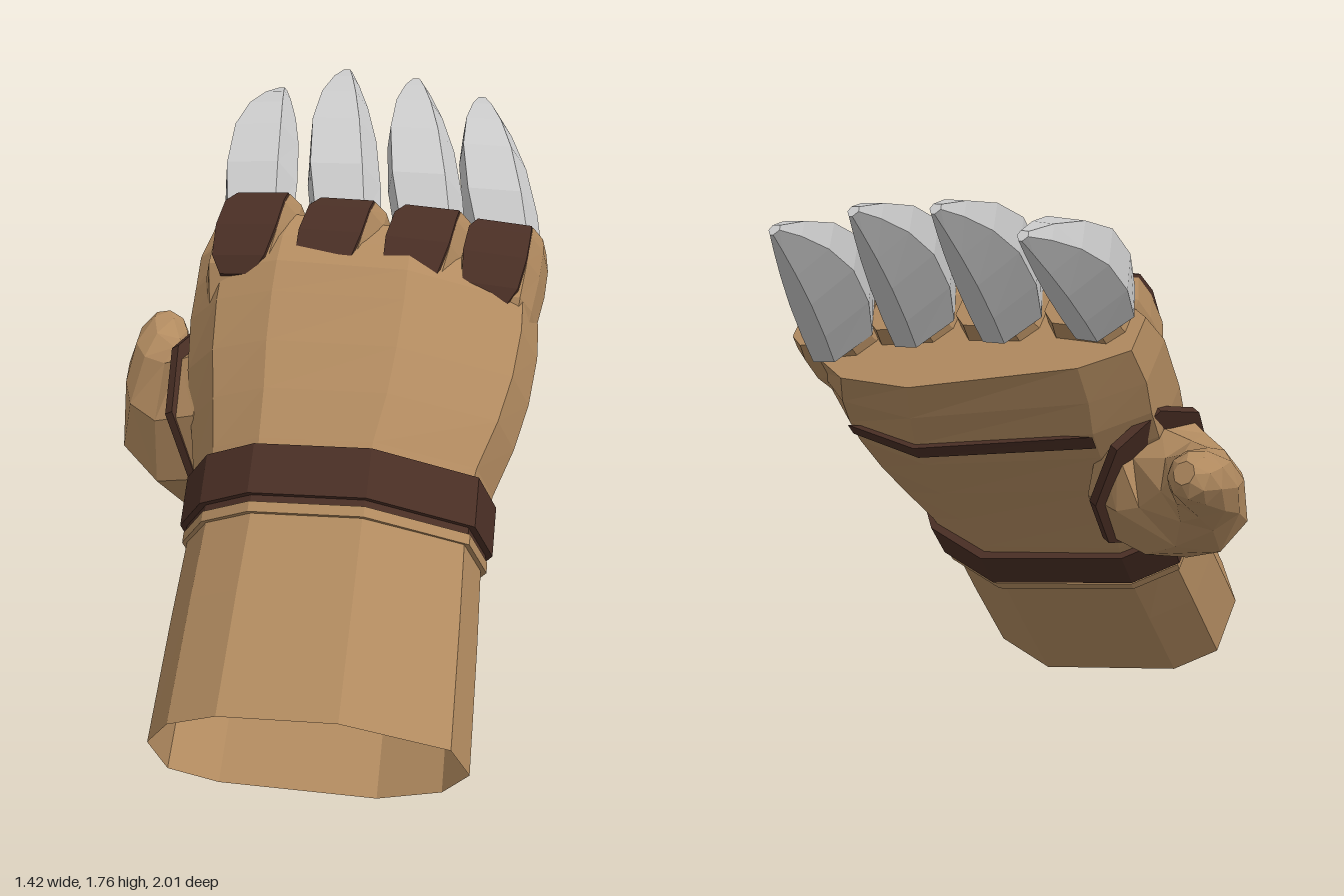
import * as THREE from 'three';

const V = (x, y, z) => new THREE.Vector3(x, y, z);
const lerp = THREE.MathUtils.lerp;
const mat = (color) => new THREE.MeshStandardMaterial({ color, flatShading: true, side: THREE.DoubleSide });
const leather = mat(0xb28b60), darkLeather = mat(0x4a2f25), metal = mat(0xcccccc);

// Skin a list of equal-length rings; optionally close the first and last ring
function loft(rings, capStart = true, capEnd = true) {
  const n = rings[0].length, pos = [], idx = [];
  rings.forEach((r) => r.forEach((p) => pos.push(p.x, p.y, p.z)));
  for (let j = 0; j < rings.length - 1; j++) {
    for (let i = 0; i < n; i++) {
      const a = j * n + i, b = j * n + (i + 1) % n;
      idx.push(a, a + n, b, b, a + n, b + n);
    }
  }
  const cap = (j, flip) => {
    const c = rings[j].reduce((s, p) => s.add(p), V(0, 0, 0)).divideScalar(n);
    const k = pos.length / 3;
    pos.push(c.x, c.y, c.z);
    for (let i = 0; i < n; i++) {
      const a = j * n + i, b = j * n + (i + 1) % n;
      idx.push(k, flip ? b : a, flip ? a : b);
    }
  };
  if (capStart) cap(0, false);
  if (capEnd) cap(rings.length - 1, true);
  const g = new THREE.BufferGeometry();
  g.setAttribute('position', new THREE.Float32BufferAttribute(pos, 3));
  g.setIndex(idx);
  g.computeVertexNormals();
  return g;
}

// Ten-sided sleeve section: x across the hand, z towards its back
const sleeve = [[.405, -.09], [.385, .08], [.135, .24], [-.165, .272], [-.305, .213],
  [-.391, .089], [-.389, -.096], [-.275, -.19], [.13, -.281], [.313, -.219]];
const sleeveRing = ([y, sx, sz, cz = 0, tilt = 0, cx = 0]) =>
  sleeve.map(([x, z]) => V(x * sx + cx, y, z * sz + cz - tilt * x * sx));

// Chamfered finger section in -1..1
const fingerShape = [[1, -.6], [1, .35], [.78, 1], [-.78, 1], [-1, .35], [-1, -.6], [-.65, -1], [.65, -1]];

export function createModel() {
  const hand = new THREE.Group();
  hand.name = 'clawedGlove';
  const add = (name, geo, material, parent = hand) => {
    const m = new THREE.Mesh(geo, material);
    m.name = name;
    parent.add(m);
    return m;
  };

  // Open sleeve and wrist bands
  add('sleeve', loft([[0, 1, 1], [.35, .98, .97, -.015], [.7, .95, .92, -.03]].map(sleeveRing), false, false), leather);
  const band = (name, y0, y1, s, material) => add(name, loft(
    [[y0, .93, .9, -.03], [y0, s, s, -.03], [y1, s, s, -.03], [y1, .93, .9, -.03]].map(sleeveRing),
    false, false), material);
  band('wristBand', .625, .77, 1.025, darkLeather);
  band('wristTrim', .575, .605, .995, leather);
  band('wristGroove', .605, .625, .98, darkLeather);

  // Palm and back of the hand, running up under the fingers
  add('palm', loft([
    [.7, .96, .94, -.03], [.8, 1.0, .94, -.03], [.95, 1.09, .93, -.03, .03, .01],
    [1.1, 1.16, .92, -.035, .06, .01], [1.26, 1.19, .9, -.04, .09, .01],
    [1.36, 1.18, .88, -.04, .11, .01], [1.46, 1.16, .76, -.045, .16, .005],
    [1.57, 1.08, .58, -.06, .22, 0],
  ].map(sleeveRing), false, true), leather);
  // Dark fold across the palm, following its underside
  add('palmCrease', loft([[1.31, 1.19, .92, -.042, .1, .01], [1.36, 1.185, .92, -.042, .11, .01]]
    .map((r) => sleeveRing(r).slice(7))), darkLeather);

  // Four fingers: knuckle, dark plate and claw
  const fingers = [
    { x0: -.3, x1: -.268, clawX: -.305, drop: 0, tilt: .05, base: .155, tip: V(-.378, 2.29, -.2) },
    { x0: -.075, x1: -.03, clawX: -.058, drop: .045, tilt: .17, base: .1, tip: V(-.176, 2.355, -.207) },
    { x0: .165, x1: .205, clawX: .178, drop: .1, tilt: .26, base: .04, tip: V(.045, 2.32, -.224) },
    { x0: .378, x1: .398, clawX: .388, drop: .185, tilt: .31, base: -.05, tip: V(.245, 2.285, -.287) },
  ];
  // height along hand, half width, top, thickness
  const knuckle = [[1.26, .09, .15, .14], [1.36, .104, .21, .2], [1.48, .11, .213, .23],
    [1.57, .108, .2, .22], [1.63, .096, .155, .17]];
  const plate = [[1.33, .045, .203], [1.38, .074, .222], [1.48, .086, .226], [1.57, .084, .212], [1.626, .074, .168]];
  const blade = [[0, .1], [.22, .107], [.48, .098], [.7, .072], [.88, .04], [1, .014]];

  fingers.forEach((f, i) => {
    const g = new THREE.Group();
    g.name = 'finger' + (i + 1);
    hand.add(g);
    const cx = (y) => lerp(f.x0, f.x1, (y - 1.36) / .28);
    add('knuckle', loft(knuckle.map(([y, w, top, t]) => fingerShape.map(([x, z]) =>
      V(cx(y) + x * w, y, top - f.drop + (z - 1) * t / 2 - f.tilt * x * w)))), leather, g);
    add('knucklePlate', loft(plate.map(([y, w, top]) => [[1, -.04], [1, 0], [-1, 0], [-1, -.04]].map(([x, z]) =>
      V(cx(y) + x * w, y, top - f.drop + z - f.tilt * x * w)))), darkLeather, g);
    // Curved blade: flat back, keel below
    add('claw', loft(blade.map(([t, w]) => {
      const top = lerp(f.base - .005, f.tip.z, t) + .44 * t * (1 - t);
      const low = lerp(f.base - .19, f.tip.z - .03, t);
      const x0 = lerp(f.clawX, f.tip.x, t), y = lerp(1.6, f.tip.y, t);
      return [[1, .5], [.7, 1], [-.7, 1], [-1, .5], [-.3, 0], [.3, 0]].map(([x, z]) =>
        V(x0 + x * w, y, lerp(low, top, z) - f.tilt * .6 * x * w));
    })), metal, g);
  });

  // Thumb: centre and half sizes along its curve
  const thumb = [[-.34, 1.05, -.08, .25, .18], [-.45, 1.055, -.12, .24, .175], [-.535, 1.11, -.145, .185, .145],
    [-.6, 1.21, -.18, .118, .105], [-.642, 1.32, -.23, .088, .085], [-.658, 1.43, -.28, .07, .07],
    [-.656, 1.48, -.305, .058, .055], [-.652, 1.505, -.315, .03, .028]];
  const ovalRing = (c, dir, a, b) => {
    const e1 = V(0, 1, 0).addScaledVector(dir, -dir.y).normalize();
    const e2 = e1.clone().cross(dir);
    return Array.from({ length: 8 }, (_, i) => {
      const t = (i + .5) * Math.PI / 4;
      return c.clone().addScaledVector(e1, a * Math.cos(t) * 1.06).addScaledVector(e2, b * Math.sin(t) * 1.06);
    });
  };
  add('thumb', loft(thumb.map(([x, y, z, a, b], i) => {
    const p = thumb[Math.max(i - 1, 0)], q = thumb[Math.min(i + 1, thumb.length - 1)];
    return ovalRing(V(x, y, z), V(q[0] - p[0], q[1] - p[1], q[2] - p[2]).normalize(), a, b);
  })), leather);

  // Dark seam where the thumb joins the hand
  const seamDir = V(-.85, -.07, -.45).normalize();
  add('thumbSeam', loft([0, .025].map((d) =>
    ovalRing(V(-.385, 1.075, -.1).addScaledVector(seamDir, d), seamDir, .268, .2))), darkLeather);

  // Raise the whole hand into its slanted pose
  const along = V(-.204, .733, -.649).normalize();
  const across = V(.969, .07, -.236);
  across.addScaledVector(along, -across.dot(along)).normalize();
  const back = across.clone().cross(along);
  hand.quaternion.setFromRotationMatrix(new THREE.Matrix4().makeBasis(across, along, back));
  hand.position.set(.33, .18, .77);

  const model = new THREE.Group();
  model.name = 'model';
  model.add(hand);
  return model;
}
